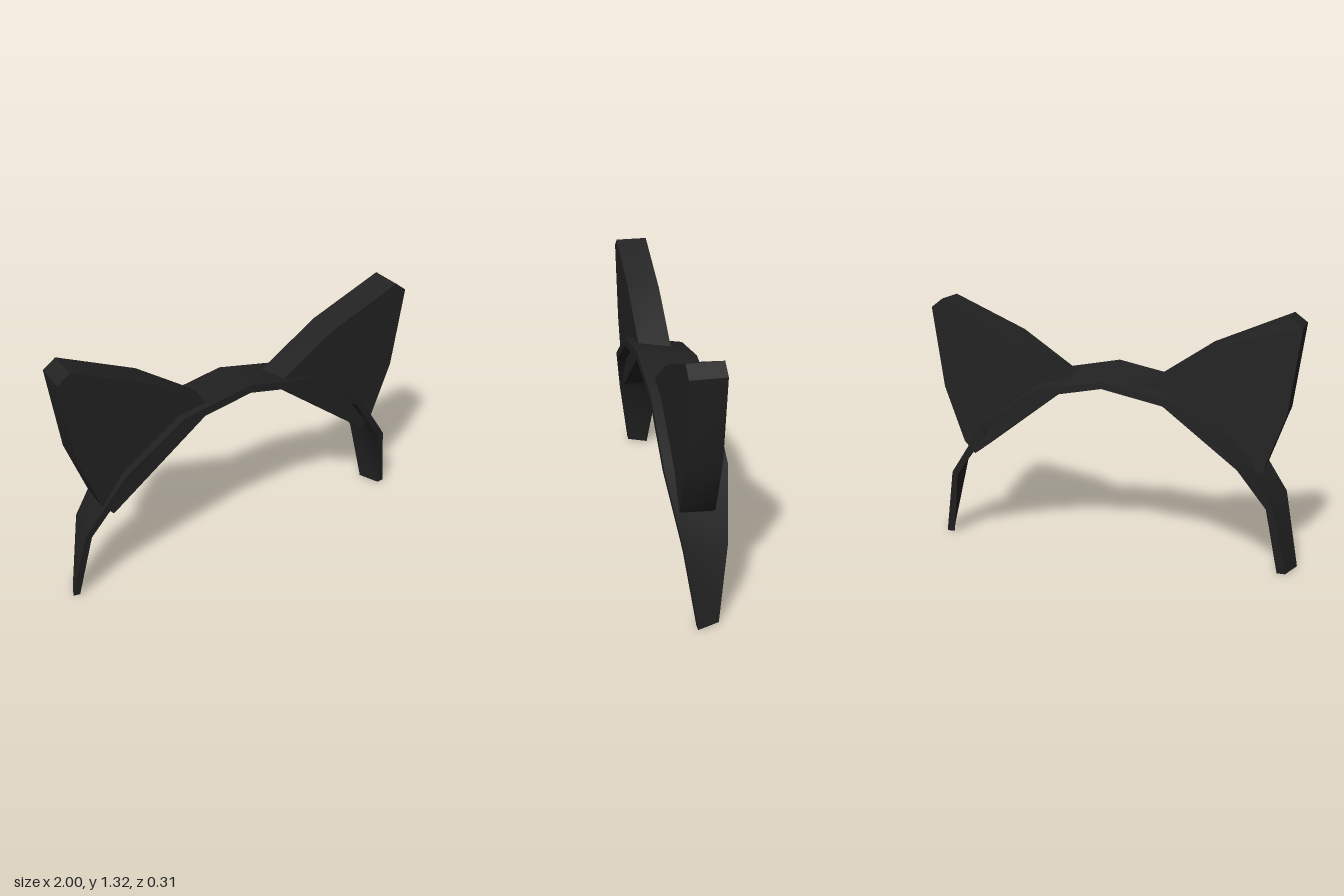
import * as THREE from 'three';
import { toCreasedNormals } from 'three/addons/utils/BufferGeometryUtils.js';

const material = new THREE.MeshStandardMaterial({ color: 0x222222 });

// Half of the band, crown to tip: corner points [x, y] of the cross-section and its half width in z.
const stations = [
  { fo: [0, 1.01], bo: [0, 0.96], bi: [0, 0.925], fi: [0, 0.967], w: 0.157 },
  { fo: [0.38, 0.935], bo: [0.36, 0.89], bi: [0.35, 0.855], fi: [0.365, 0.895], w: 0.157 },
  { fo: [0.7, 0.713], bo: [0.668, 0.68], bi: [0.64, 0.65], fi: [0.672, 0.685], w: 0.157 },
  { fo: [0.92, 0.395], bo: [0.88, 0.375], bi: [0.85, 0.36], fi: [0.888, 0.38], w: 0.108 },
  { fo: [1, 0.005], bo: [0.955, 0], bi: [0.912, 0], fi: [0.962, 0], w: 0.055 },
];

function bandGeometry() {
  const ring = (s, sign) => [
    [sign * s.fo[0], s.fo[1], s.w], [sign * s.bo[0], s.bo[1], -s.w],
    [sign * s.bi[0], s.bi[1], -s.w], [sign * s.fi[0], s.fi[1], s.w],
  ];
  const rings = [
    ...stations.slice(1).reverse().map((s) => ring(s, -1)),
    ...stations.map((s) => ring(s, 1)),
  ];
  const index = [];
  const last = (rings.length - 1) * 4;
  for (let i = 0; i < last; i += 4) {
    for (let j = 0; j < 4; j++) {
      const k = (j + 1) % 4;
      index.push(i + j, i + 4 + j, i + 4 + k, i + j, i + 4 + k, i + k);
    }
  }
  // End caps
  index.push(0, 1, 2, 0, 2, 3, last, last + 2, last + 1, last, last + 3, last + 2);
  const geometry = new THREE.BufferGeometry();
  geometry.setAttribute('position', new THREE.Float32BufferAttribute(rings.flat(2), 3));
  geometry.setIndex(index);
  return toCreasedNormals(geometry, 0.75);
}

// Thick pointed ear whose straight base cuts through the band
const earOutline = [
  [0.18, 0.922], [0.76, 0.48], [0.82, 0.545], [0.925, 0.845],
  [0.98, 1.275], [0.915, 1.323], [0.52, 1.152],
];

function earGeometry(sign) {
  const shape = new THREE.Shape(earOutline.map(([x, y]) => new THREE.Vector2(sign * x, y)));
  const geometry = new THREE.ExtrudeGeometry(shape, { depth: 0.17, bevelEnabled: false });
  geometry.translate(0, 0, -0.062);
  return toCreasedNormals(geometry, 0.5);
}

export function createModel() {
  const group = new THREE.Group();
  group.name = 'earHeadband';
  const add = (name, geometry) => {
    const mesh = new THREE.Mesh(geometry, material);
    mesh.name = name;
    group.add(mesh);
  };
  add('band', bandGeometry());
  add('leftEar', earGeometry(1));
  add('rightEar', earGeometry(-1));
  return group;
}
